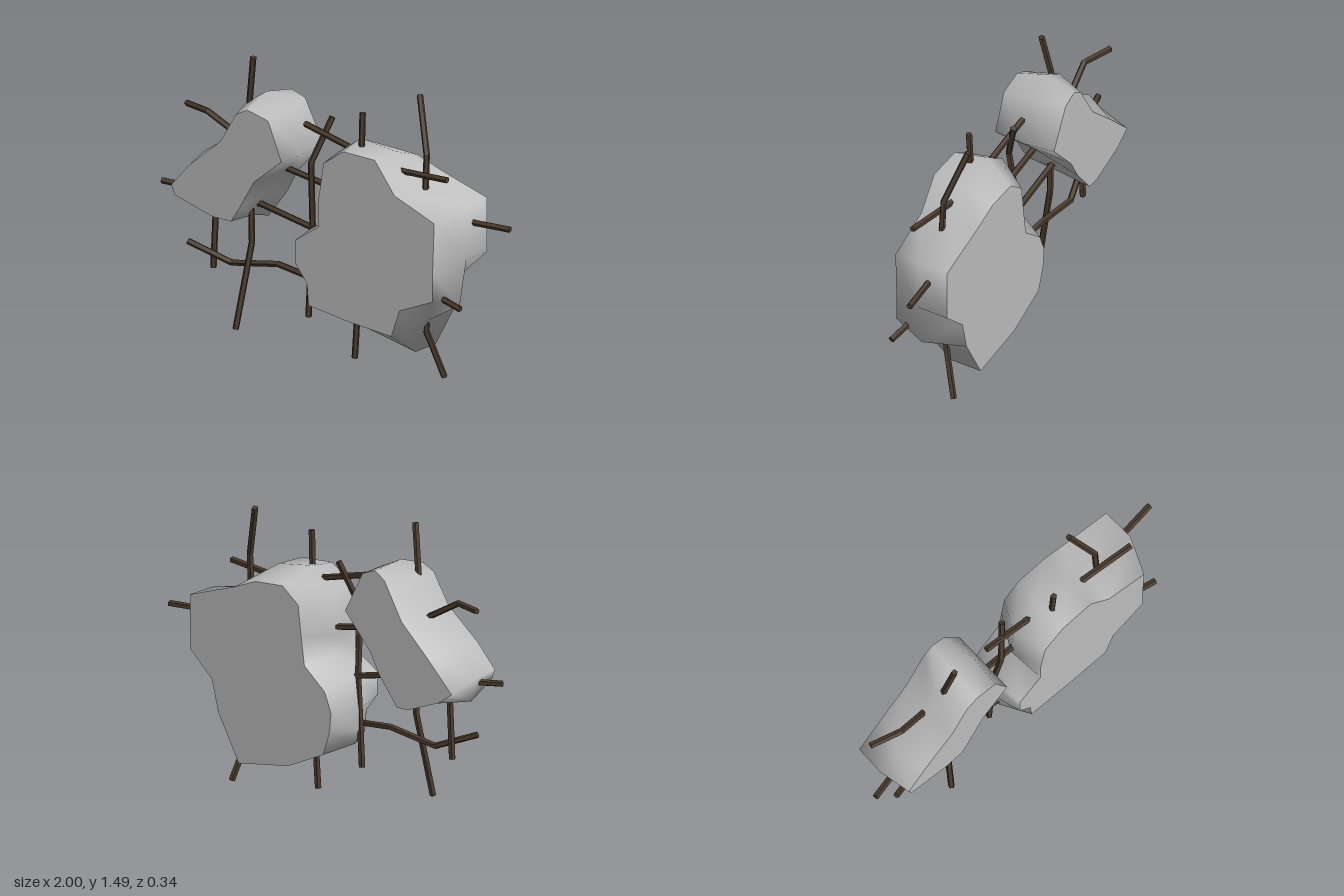
import * as THREE from 'three';

const concrete = new THREE.MeshStandardMaterial({ color: 0xbcbcbc });
concrete.name = 'concrete';
const rustySteel = new THREE.MeshStandardMaterial({ color: 0x4a3a2d, flatShading: true });
rustySteel.name = 'rustySteel';

const HALF = 0.17; // half thickness of the slabs

function makeGeometry(positions, index) {
  const g = new THREE.BufferGeometry();
  g.setAttribute('position', new THREE.Float32BufferAttribute(positions, 3));
  g.setIndex(index);
  g.computeVertexNormals();
  return g;
}

// Broken slab: rough smooth-shaded rim through three outlines, plus two flat faces.
// Each row is one rim point: front x, y, middle x, y, back x, y.
function chunk(name, rows) {
  const group = new THREE.Group();
  group.name = name;
  const pts = [...rows].reverse(); // counter-clockwise from the front
  const n = pts.length;
  const ring = (k) => pts.map((r) => new THREE.Vector2(r[2 * k], r[2 * k + 1]));
  const rings = [ring(2), ring(1), ring(0)];
  const zs = [-HALF, 0, HALF];

  const pos = [], idx = [];
  rings.forEach((r, k) => r.forEach((p) => pos.push(p.x, p.y, zs[k])));
  for (let k = 0; k < 2; k++) {
    for (let j = 0; j < n; j++) {
      const a = k * n + j, b = k * n + (j + 1) % n;
      idx.push(a, b, b + n, a, b + n, a + n);
    }
  }
  const rim = new THREE.Mesh(makeGeometry(pos, idx), concrete);
  rim.name = 'brokenRim';
  group.add(rim);

  for (const [k, label] of [[2, 'frontFace'], [0, 'backFace']]) {
    const tris = THREE.ShapeUtils.triangulateShape(rings[k], []);
    const flat = rings[k].flatMap((p) => [p.x, p.y, zs[k]]);
    const order = tris.flatMap(([a, b, c]) => (k === 2 ? [a, b, c] : [a, c, b]));
    const face = new THREE.Mesh(makeGeometry(flat, order), concrete);
    face.name = label;
    group.add(face);
  }
  return group;
}

// Bent steel bar: a five-sided tube with sharp bends and closed ends.
function bar(name, path, radius = 0.0165, sides = 5) {
  const p = path.map((v) => new THREE.Vector3(...v));
  const last = p.length - 1;
  const pos = [], idx = [];
  p.forEach((c, i) => {
    const t = new THREE.Vector3();
    if (i > 0) t.add(c.clone().sub(p[i - 1]).normalize());
    if (i < last) t.add(p[i + 1].clone().sub(c).normalize());
    t.normalize();
    const u = new THREE.Vector3(0, 0, 1).addScaledVector(t, -t.z).normalize();
    const w = t.clone().cross(u);
    for (let s = 0; s < sides; s++) {
      const a = (s / sides) * Math.PI * 2;
      const v = c.clone().addScaledVector(u, Math.cos(a) * radius).addScaledVector(w, Math.sin(a) * radius);
      pos.push(v.x, v.y, v.z);
    }
  });
  for (let i = 0; i < last; i++) {
    for (let s = 0; s < sides; s++) {
      const a = i * sides + s, b = i * sides + (s + 1) % sides;
      idx.push(a, b, b + sides, a, b + sides, a + sides);
    }
  }
  for (let s = 1; s < sides - 1; s++) {
    const e = last * sides;
    idx.push(0, s + 1, s, e, e + s, e + s + 1);
  }
  const mesh = new THREE.Mesh(makeGeometry(pos, idx), rustySteel);
  mesh.name = name;
  return mesh;
}

export function createModel() {
  const model = new THREE.Group();
  model.name = 'concreteRubble';

  model.add(chunk('largeChunk', [
    [0.05, 1.06, 0.0, 1.06, 0.1, 1.01],
    [0.17, 1.14, 0.15, 1.165, 0.2, 1.09],
    [0.36, 1.13, 0.365, 1.135, 0.37, 1.08],
    [0.48, 0.97, 0.49, 0.995, 0.5, 1.03],
    [0.72, 0.87, 0.79, 0.935, 0.79, 0.935],
    [0.71, 0.61, 0.79, 0.66, 0.79, 0.66],
    [0.71, 0.47, 0.75, 0.42, 0.65, 0.53],
    [0.51, 0.39, 0.56, 0.31, 0.61, 0.37],
    [0.46, 0.25, 0.48, 0.135, 0.48, 0.135],
    [0.2, 0.28, 0.13, 0.22, 0.165, 0.18],
    [-0.04, 0.32, -0.12, 0.31, -0.06, 0.28],
    [-0.05, 0.43, -0.16, 0.39, -0.1, 0.4],
    [-0.12, 0.52, -0.16, 0.5, -0.11, 0.5],
    [-0.12, 0.64, -0.14, 0.66, -0.07, 0.6],
    [0.02, 0.73, 0.01, 0.74, 0.06, 0.71],
    [0.02, 0.87, -0.02, 0.84, 0.08, 0.85],
  ]));

  model.add(chunk('smallChunk', [
    [-0.48, 1.215, -0.53, 1.235, -0.45, 1.24],
    [-0.41, 1.25, -0.415, 1.305, -0.39, 1.28],
    [-0.285, 1.215, -0.275, 1.24, -0.31, 1.25],
    [-0.205, 1.02, -0.2, 1.02, -0.2, 1.04],
    [-0.37, 0.89, -0.29, 0.93, -0.36, 0.86],
    [-0.46, 0.74, -0.43, 0.78, -0.42, 0.75],
    [-0.51, 0.665, -0.5, 0.66, -0.53, 0.61],
    [-0.62, 0.67, -0.64, 0.615, -0.6, 0.61],
    [-0.85, 0.74, -0.86, 0.665, -0.79, 0.68],
    [-0.87, 0.79, -0.9, 0.79, -0.88, 0.74],
    [-0.76, 0.91, -0.8, 0.93, -0.72, 0.9],
    [-0.575, 1.06, -0.6, 1.06, -0.56, 1.05],
  ]));

  // Upright reinforcing bars
  const uprights = [
    [[-0.74, 0.35, 0], [-0.72, 0.75, 0]],
    [[-0.455, 1.485, 0.06], [-0.5, 1.24, 0.03], [-0.485, 0.53, 0.03], [-0.525, 0.1, 0.11]],
    [[-0.045, 1.23, -0.035], [-0.12, 1.0, 0.04], [-0.14, 0.66, 0], [-0.165, 0.2, 0]],
    [[0.21, 1.32, 0.065], [0.2, 1.1, 0.06], [0.13, 0.25, 0], [0.115, 0.04, 0]],
    [[0.45, 1.42, -0.08], [0.55, 1.15, 0], [0.55, 0.97, 0.01], [0.54, 0.25, -0.01], [0.595, 0.008, -0.085]],
  ];
  uprights.forEach((path, i) => model.add(bar(`uprightBar${i + 1}`, path)));

  // Crosswise reinforcing bars
  const crossbars = [
    [[-0.93, 1.145, -0.04], [-0.77, 1.145, 0.01], [-0.6, 1.05, -0.01], [-0.35, 0.945, 0],
      [-0.02, 0.885, 0], [0.78, 0.835, -0.06], [0.995, 0.83, -0.08]],
    [[-1, 0.765, 0.07], [-0.88, 0.755, 0.045], [-0.45, 0.725, 0], [-0.1, 0.65, 0]],
    [[-0.85, 0.48, 0.06], [-0.63, 0.395, 0], [-0.35, 0.437, 0], [-0.1, 0.41, 0.03],
      [0.72, 0.47, 0.1], [0.84, 0.445, 0.12]],
    [[-0.185, 1.18, 0], [0.1, 1.11, 0.01], [0.42, 1.055, 0.03], [0.725, 1.07, 0.07]],
  ];
  crossbars.forEach((path, i) => model.add(bar(`crossBar${i + 1}`, path)));

  return model;
}
